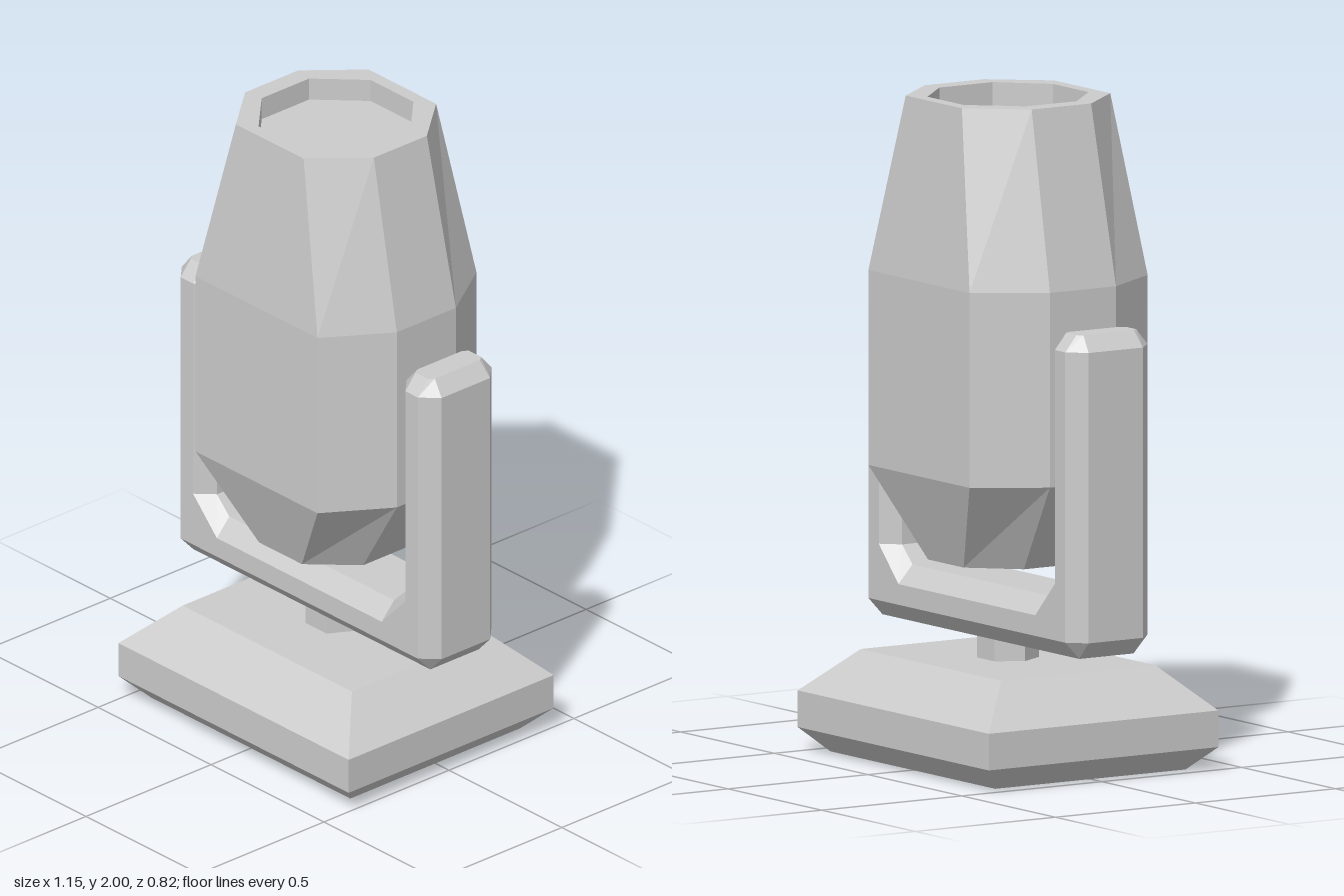
import * as THREE from 'three';

const material = new THREE.MeshStandardMaterial({ color: 0xcccccc, flatShading: true });

// Skins a list of equal-length rings (counterclockwise about the travel direction) and caps both ends.
function loft(name, rings) {
  const n = rings[0].length;
  const pos = [];
  const tri = (a, b, c) => {
    const t = new THREE.Triangle(...[a, b, c].map((p) => new THREE.Vector3(...p)));
    if (t.getArea() > 1e-8) pos.push(...a, ...b, ...c);
  };
  for (let k = 0; k < rings.length - 1; k++) {
    const a = rings[k], b = rings[k + 1];
    for (let i = 0; i < n; i++) {
      const j = (i + 1) % n;
      tri(a[i], a[j], b[j]);
      tri(a[i], b[j], b[i]);
    }
  }
  const first = rings[0], last = rings[rings.length - 1];
  for (let i = 1; i < n - 1; i++) {
    tri(first[0], first[i + 1], first[i]);
    tri(last[0], last[i], last[i + 1]);
  }
  const geometry = new THREE.BufferGeometry();
  geometry.setAttribute('position', new THREE.Float32BufferAttribute(pos, 3));
  geometry.computeVertexNormals();
  const mesh = new THREE.Mesh(geometry, material);
  mesh.name = name;
  return mesh;
}

// Horizontal rectangle with half sizes x and z
const rectangle = (y, x, z) => [[x, y, z], [x, y, -z], [-x, y, -z], [-x, y, z]];

// Horizontal octagon: long sides span +-xa at z = +-zb, short sides span +-za at x = +-xb
const octagon = (y, xa, zb, xb, za) => [
  [xb, y, za], [xb, y, -za], [xa, y, -zb], [-xa, y, -zb],
  [-xb, y, -za], [-xb, y, za], [-xa, y, zb], [xa, y, zb],
];

// Bevelled yoke section from four [x, y] points: outer, outer bevel, inner bevel, inner
function yokeSection([o, ob, ib, i], zFace, zSide) {
  return [
    [...ib, zFace], [...i, zSide], [...i, -zSide], [...ib, -zFace],
    [...ob, -zFace], [...o, -zSide], [...o, zSide], [...ob, zFace],
  ];
}

export function createModel() {
  const model = new THREE.Group();
  model.name = 'movingHeadLight';

  // Bevelled rectangular base
  model.add(loft('base', [
    rectangle(0, 0.44, 0.34),
    rectangle(0.07, 0.51, 0.41),
    rectangle(0.18, 0.51, 0.41),
    rectangle(0.31, 0.375, 0.275),
  ]));

  // Hexagonal swivel, with corners on the x axis
  const swivel = new THREE.Mesh(new THREE.CylinderGeometry(0.092, 0.092, 0.09, 6), material);
  swivel.name = 'swivel';
  swivel.position.y = 0.345;
  swivel.rotation.y = Math.PI / 2;
  model.add(swivel);

  // U-shaped yoke: one arm from tip to corner, then mirrored
  const arm = [
    yokeSection([[0.537, 1.353], [0.525, 1.353], [0.47, 1.353], [0.458, 1.353]], 0.107, 0.09),
    yokeSection([[0.575, 1.305], [0.525, 1.305], [0.47, 1.305], [0.42, 1.305]], 0.147, 0.097),
    yokeSection([[0.575, 0.433], [0.525, 0.433], [0.47, 0.603], [0.42, 0.603]], 0.147, 0.097),
    yokeSection([[0.525, 0.38], [0.525, 0.433], [0.365, 0.495], [0.365, 0.55]], 0.147, 0.097),
  ];
  const mirrored = arm.map((ring) => ring.map(([x, y, z]) => [-x, y, z])).reverse();
  model.add(loft('yoke', [...arm, ...mirrored]));

  // Octagonal lamp head with a recessed lens at the top
  model.add(loft('lampHead', [
    octagon(0.61, 0.095, 0.222, 0.222, 0.092),
    octagon(0.88, 0.27, 0.318, 0.4, 0.118),
    octagon(1.465, 0.27, 0.318, 0.4, 0.118),
    octagon(2, 0.15, 0.265, 0.285, 0.106),
    octagon(2, 0.095, 0.224, 0.224, 0.095),
    octagon(1.93, 0.095, 0.224, 0.224, 0.095),
  ]));

  return model;
}
